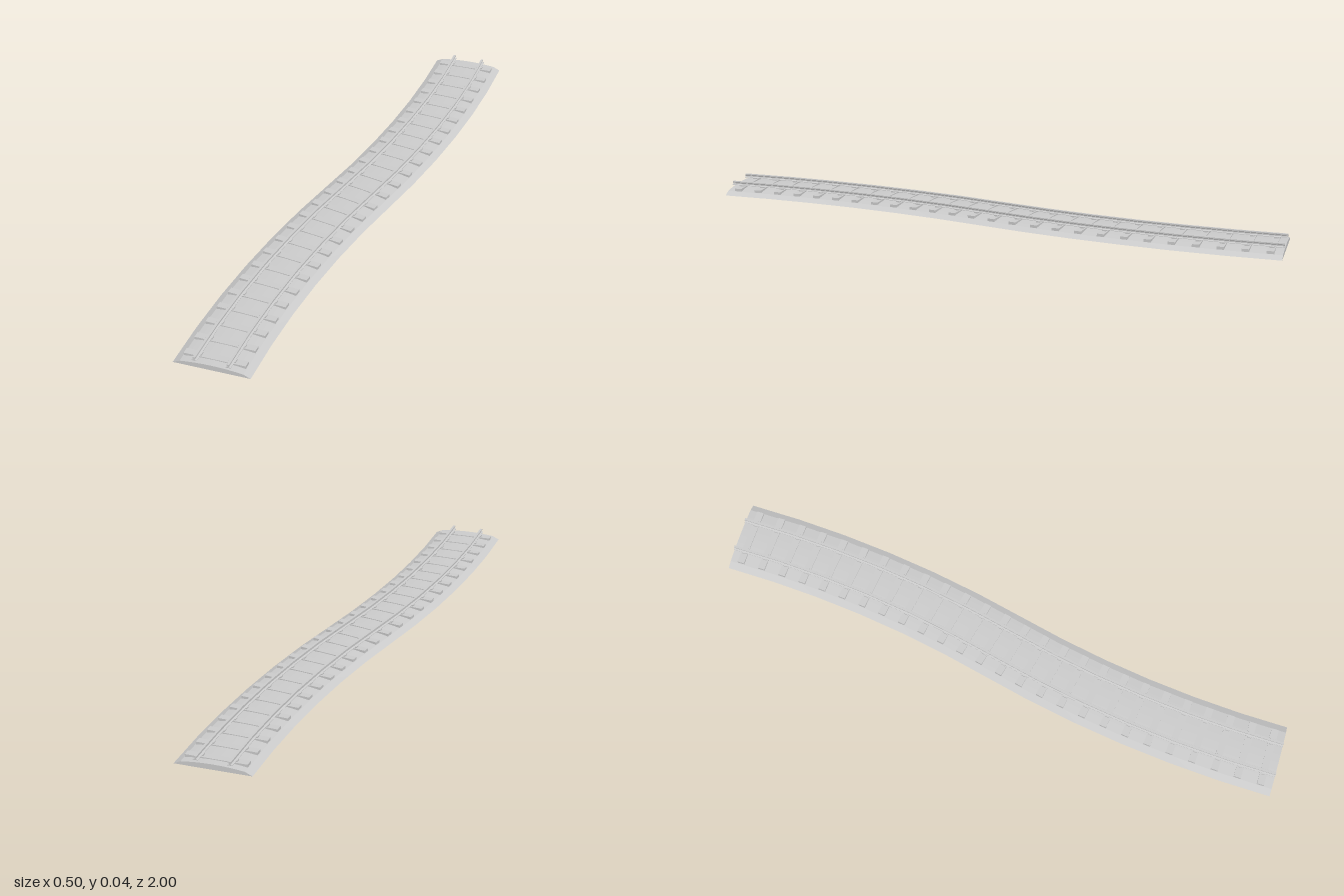
import * as THREE from 'three';
import { mergeGeometries, toCreasedNormals } from 'three/addons/utils/BufferGeometryUtils.js';

const OFFSET = 0.125;                               // sideways shift at each end
const R = (1 + OFFSET * OFFSET) / (2 * OFFSET);     // radius of the two opposed arcs
const A = Math.asin(1 / R);                         // angle of each arc
const SEGMENTS = 12;

// Centre line: t = 0 at the front, 1 at the back; returns position and heading
function track(t) {
  const s = t < 0.5 ? 1 : -1;
  const a = A * 2 * Math.min(t, 1 - t);
  return {
    x: s * (R * (1 - Math.cos(a)) - OFFSET),
    z: s * (1 - R * Math.sin(a)),
    yaw: a,
  };
}

// Point at a sideways offset and height beside the centre line
function place(t, side, y) {
  const p = track(t);
  return new THREE.Vector3(p.x + side * Math.cos(p.yaw), y, p.z + side * Math.sin(p.yaw));
}

// Sweep a profile of [side, y] points, listed left to right over the top
function sweep(profile, closed, shift = 0) {
  const n = profile.length, pos = [], index = [];
  for (let i = 0; i <= SEGMENTS; i++) {
    for (const [x, y] of profile) pos.push(...place(i / SEGMENTS, x + shift, y).toArray());
  }
  for (let i = 0; i < SEGMENTS; i++) {
    for (let j = 0; j < (closed ? n : n - 1); j++) {
      const k = (j + 1) % n;
      const a = i * n + j, b = i * n + k, c = b + n, d = a + n;
      index.push(a, b, c, a, c, d);
    }
  }
  const geo = new THREE.BufferGeometry();
  geo.setAttribute('position', new THREE.Float32BufferAttribute(pos, 3));
  geo.setIndex(index);

  // flat caps on both ends
  const shape = new THREE.Shape(profile.map(([x, y]) => new THREE.Vector2(x, y)));
  const front = new THREE.ShapeGeometry(shape).translate(shift - OFFSET, 0, 1);
  const back = new THREE.ShapeGeometry(shape).rotateY(Math.PI).translate(shift + OFFSET, 0, -1);
  const parts = [geo, front, back].map((g) => {
    const flat = g.toNonIndexed();
    flat.deleteAttribute('uv');
    flat.deleteAttribute('normal');
    return flat;
  });
  return toCreasedNormals(mergeGeometries(parts), 0.3);
}

export function createModel() {
  const group = new THREE.Group();
  const grey = new THREE.MeshStandardMaterial({ color: 0xcccccc });
  const sheet = new THREE.MeshStandardMaterial({ color: 0xcccccc, side: THREE.DoubleSide });
  const add = (name, geo, mat = grey) => {
    const mesh = new THREE.Mesh(geo, mat);
    mesh.name = name;
    group.add(mesh);
    return mesh;
  };

  // Ballast: sloped shoulders and a gently domed top, open underneath
  const bed = [[-0.125, 0]];
  for (let i = 0; i <= 8; i++) {
    const u = i / 4 - 1;
    bed.push([u * 0.102, 0.011 + 0.007 * (1 - u * u)]);
  }
  bed.push([0.125, 0]);
  add('ballastBed', sweep(bed, false), sheet);

  // Rails: foot, web and head
  const half = [[0.004, 0.036], [0.004, 0.032], [0.0018, 0.03], [0.0018, 0.0265], [0.008, 0.025], [0.008, 0.0235]];
  const rail = [...half.map(([x, y]) => [-x, y]).reverse(), ...half];
  for (const side of [-1, 1]) {
    add(side < 0 ? 'rightRail' : 'leftRail', sweep(rail, true, side * 0.0545));
  }

  // Sleepers with a chair under each rail
  const COUNT = 26;
  const sleeperGeo = new THREE.BoxGeometry(0.2, 0.0105, 0.024).translate(0, 0.01525, 0);
  const chairGeo = new THREE.BoxGeometry(0.022, 0.005, 0.014).translate(0, 0.0225, 0);
  for (let i = 0; i < COUNT; i++) {
    const t = (i + 0.5) / COUNT;
    const p = track(t);
    const sleeper = add('sleeper', sleeperGeo);
    sleeper.position.set(p.x, 0, p.z);
    sleeper.rotation.y = -p.yaw;
    for (const side of [-1, 1]) {
      const chair = add('railChair', chairGeo);
      chair.position.copy(place(t, side * 0.0545, 0));
      chair.rotation.y = -p.yaw;
    }
  }
  return group;
}
